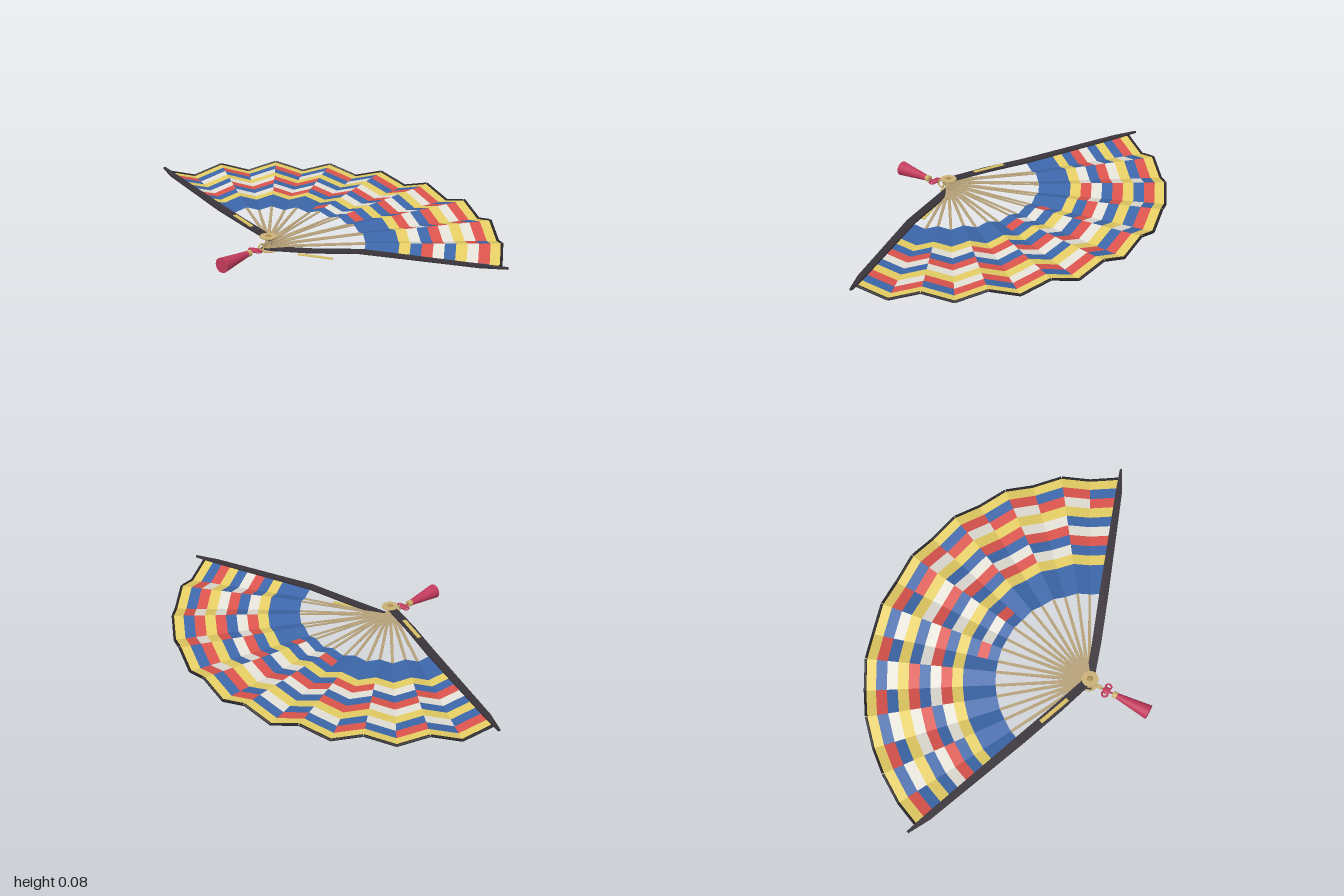
import * as THREE from 'three';
import { mergeGeometries, toCreasedNormals } from 'three/addons/utils/BufferGeometryUtils.js';

const PLEATS = 18, ROWS = 12;
const R_IN = 0.425, R_OUT = 1.015, PIVOT_Z = 0.36;
const START = THREE.MathUtils.degToRad(20), SPAN = THREE.MathUtils.degToRad(140);
const COLORS = { blue: 0x3c66a8, red: 0xd9534c, white: 0xe2dfd6, yellow: 0xe3cc63 };

const mat = (color, extra = {}) => new THREE.MeshStandardMaterial({ color, ...extra });
const angle = k => START + (SPAN * k) / PLEATS;
// Even folds are ridges, odd folds are valleys; the folds flatten towards the pivot
const foldY = (k, r) => 0.043 + (k % 2 ? -0.022 : 0.022) * (r / R_OUT);
const stackY = k => 0.02 + (0.046 * k) / PLEATS;
const leafPoint = (k, r) =>
  new THREE.Vector3(r * Math.cos(angle(k)), foldY(k, r), PIVOT_Z - r * Math.sin(angle(k)));

function add(parent, name, geometry, material, x = 0, y = 0, z = 0) {
  const mesh = new THREE.Mesh(geometry, material);
  mesh.name = name;
  mesh.position.set(x, y, z);
  parent.add(mesh);
  return mesh;
}

// Flat bar along +x through stations [distance, height, half width, sideways shift]
function bar(stations, thickness) {
  const n = stations.length - 1;
  const g = new THREE.BoxGeometry(n, 1, 1, n, 1, 1);
  const p = g.attributes.position;
  for (let i = 0; i < p.count; i++) {
    const [d, y, w, shift = 0] = stations[Math.round(p.getX(i) + n / 2)];
    p.setXYZ(i, d, y + p.getY(i) * thickness, shift + p.getZ(i) * 2 * w);
  }
  return toCreasedNormals(g, 0.4);
}

function rod(a, b, radius) {
  return new THREE.TubeGeometry(new THREE.LineCurve3(a, b), 1, radius, 6, false);
}

// Colour of one cell of the woven pattern, rows counted from the outer edge
function cellColor(row, k) {
  const cycle = ['white', 'red', 'blue'];
  const d = Math.abs(Math.floor(k / 2) - 4);
  if (row === 0 || row === 3 || row === 8) return 'yellow';
  if (row === 1) return k % 2 ? 'red' : 'blue';
  if (row === 2) return k % 2 ? (k < 9 ? 'white' : 'blue') : (k < 9 ? 'red' : 'white');
  if (row >= 4 && row <= 7) return cycle[(row - 4 + 2 * d) % 3];
  if (row === 10) {
    if (k === 8 || k === 9) return 'white';
    if (k === 7 || k === 10) return 'red';
  }
  return 'blue';
}

function quads(list) {
  const pos = [];
  for (const [a, b, c, d] of list) for (const v of [a, b, c, a, c, d]) pos.push(v.x, v.y, v.z);
  const g = new THREE.BufferGeometry();
  g.setAttribute('position', new THREE.Float32BufferAttribute(pos, 3));
  g.computeVertexNormals();
  return g;
}

function makeLeaf() {
  const leaf = new THREE.Group();
  leaf.name = 'pleatedLeaf';
  const cells = { blue: [], red: [], white: [], yellow: [] };
  const back = [], trim = [];
  for (let k = 0; k < PLEATS; k++) {
    for (let row = 0; row < ROWS; row++) {
      const r1 = R_OUT - ((R_OUT - R_IN) * row) / ROWS;
      const r0 = r1 - (R_OUT - R_IN) / ROWS;
      cells[cellColor(row, k)].push(
        [leafPoint(k, r0), leafPoint(k, r1), leafPoint(k + 1, r1), leafPoint(k + 1, r0)]);
    }
    const under = [leafPoint(k, R_IN), leafPoint(k + 1, R_IN), leafPoint(k + 1, R_OUT), leafPoint(k, R_OUT)];
    under.forEach(v => (v.y -= 0.002));
    back.push(under);
    trim.push(rod(leafPoint(k, R_OUT), leafPoint(k + 1, R_OUT), 0.0065));
  }
  for (const name in cells) add(leaf, name + 'Cells', quads(cells[name]), mat(COLORS[name], { flatShading: true }));
  add(leaf, 'leafBacking', quads(back), mat(0x77756f, { flatShading: true }));
  add(leaf, 'outerTrim', mergeGeometries(trim), mat(0x2a272b));
  return leaf;
}

function makeSticks() {
  const sticks = new THREE.Group();
  sticks.name = 'sticks';
  // Thin ribs, stacked at the pivot and lying under the folds
  const ribMat = mat(0xb5a078);
  for (let k = 1; k < PLEATS; k++) {
    const g = bar([
      [-0.025, stackY(k), 0.008], [0.03, stackY(k), 0.008],
      [R_IN, foldY(k, R_IN) - 0.004, 0.006], [R_OUT - 0.02, foldY(k, R_OUT) - 0.004, 0.003]
    ], 0.003);
    add(sticks, 'rib', g, ribMat, 0, 0, PIVOT_Z).rotation.y = angle(k);
  }
  // Guards with a gilt inlay on their outer faces
  for (const [k, side] of [[0, 1], [PLEATS, -1]]) {
    const y = stackY(k) - side * 0.003;
    const guard = new THREE.Group();
    guard.name = side > 0 ? 'leftGuard' : 'rightGuard';
    guard.position.z = PIVOT_Z;
    guard.rotation.y = angle(k);
    const s = side * 0.006;
    add(guard, 'guardStick', bar([
      [-0.03, y, 0.012], [0, y, 0.019], [0.2, y + (0.066 - y) * 0.35, 0.021, s],
      [R_IN, 0.062, 0.021, s], [0.95, 0.068, 0.015, s], [1.063, 0.071, 0.005]
    ], 0.008), mat(0x39343a));
    add(guard, 'guardInlay', new THREE.BoxGeometry(0.16, 0.003, 0.018), mat(0xd6bd62),
      0.22, side > 0 ? 0.011 : 0.074, s);
    sticks.add(guard);
  }
  return sticks;
}

function makePivot() {
  const pivot = new THREE.Group();
  pivot.name = 'pivot';
  pivot.position.z = PIVOT_Z;
  const gold = mat(0xc9b077);
  add(pivot, 'pin', new THREE.CylinderGeometry(0.014, 0.014, 0.066, 16), gold, 0, 0.043);
  for (const y of [0.012, 0.073]) {
    add(pivot, 'washer', new THREE.CylinderGeometry(0.038, 0.038, 0.005, 24), gold, 0, y);
    add(pivot, 'rivetHead', new THREE.SphereGeometry(0.015, 16, 8), mat(0xa88c4e), 0, y).scale.y = 0.5;
  }
  return pivot;
}

function makeTassel() {
  const tassel = new THREE.Group();
  tassel.name = 'tassel';
  tassel.position.y = 0.035;
  const pink = mat(0xc23a5c), gold = mat(0xcbb26a);
  add(tassel, 'ring', new THREE.TorusGeometry(0.017, 0.004, 8, 20), gold, 0, 0, 0.408).rotation.y = Math.PI / 2;
  add(tassel, 'cord', rod(new THREE.Vector3(0, 0, 0.42), new THREE.Vector3(0, 0, 0.49), 0.004), pink);
  // Knot with a loop on each side
  add(tassel, 'knot', new THREE.SphereGeometry(0.018, 14, 10), pink, 0, 0, 0.447).scale.y = 0.5;
  for (const s of [-1, 1]) {
    const loop = add(tassel, 'knotLoop', new THREE.TorusGeometry(0.013, 0.0045, 8, 16), pink, s * 0.019, 0, 0.447);
    loop.rotation.x = Math.PI / 2;
  }
  add(tassel, 'cap', new THREE.CylinderGeometry(0.015, 0.015, 0.02, 16), gold, 0, 0, 0.49).rotation.x = Math.PI / 2;
  const skirt = new THREE.CylinderGeometry(0.034, 0.013, 0.165, 20);
  add(tassel, 'skirt', skirt, pink, 0, 0, 0.578).rotation.x = Math.PI / 2;
  return tassel;
}

export function createModel() {
  const fan = new THREE.Group();
  fan.name = 'foldingFan';
  fan.add(makeLeaf(), makeSticks(), makePivot(), makeTassel());
  return fan;
}
